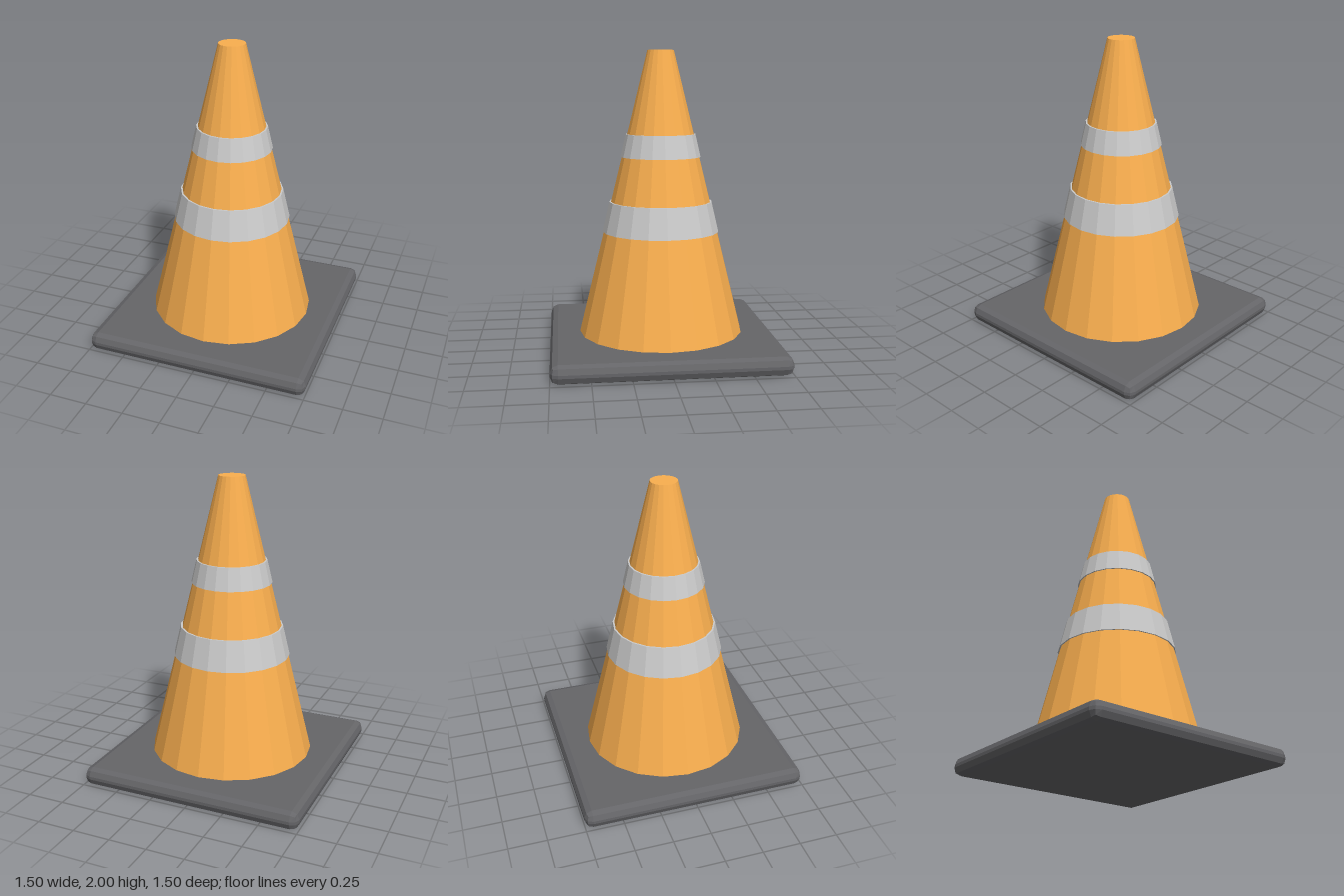
import * as THREE from 'three';
import { RoundedBoxGeometry } from 'three/addons/geometries/RoundedBoxGeometry.js';

const SIDES = 20;
const BASE_HEIGHT = 0.12;

const material = (color) => new THREE.MeshStandardMaterial({ color, flatShading: true });

// Closed, faceted frustum between two heights
function frustum(name, y0, r0, y1, r1, mat) {
  const mesh = new THREE.Mesh(new THREE.CylinderGeometry(r1, r0, y1 - y0, SIDES), mat);
  mesh.name = name;
  mesh.position.y = (y0 + y1) / 2;
  return mesh;
}

export function createModel() {
  const group = new THREE.Group();
  group.name = 'trafficCone';

  const orange = material(0xfaaf4f);
  const grey = material(0xcccccc);

  // Square rubber foot with softened edges
  const base = new THREE.Mesh(
    new RoundedBoxGeometry(1.5, BASE_HEIGHT, 1.5, 1, 0.05),
    material(0x656568)
  );
  base.name = 'base';
  base.position.y = BASE_HEIGHT / 2;
  group.add(base);

  // Tapered body
  group.add(frustum('coneBody', BASE_HEIGHT, 0.55, 2, 0.088, orange));

  // Reflective bands standing slightly proud of the body
  group.add(frustum('lowerBand', 0.8, 0.392, 1.0, 0.345, grey));
  group.add(frustum('upperBand', 1.3, 0.269, 1.45, 0.234, grey));

  return group;
}
